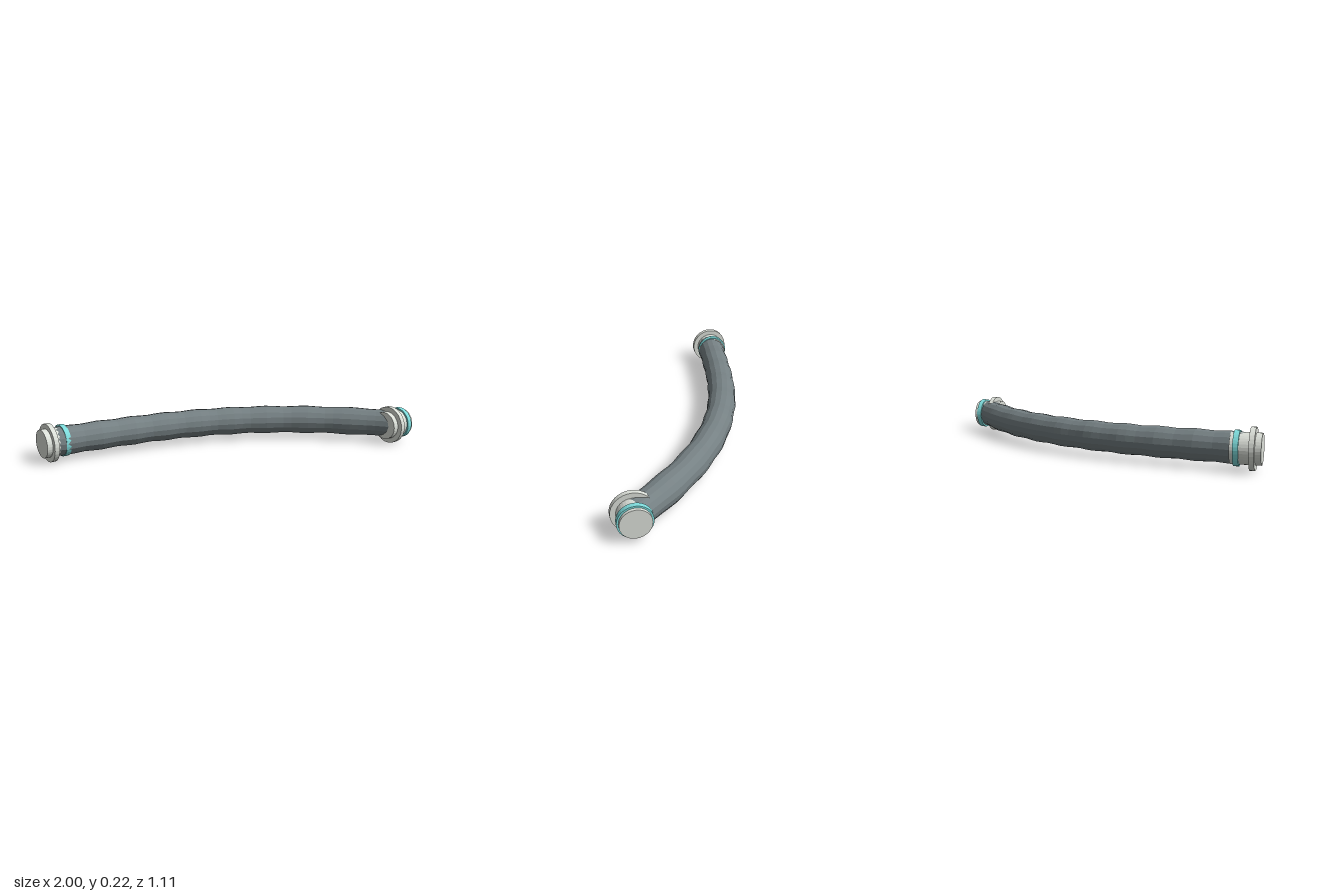
import * as THREE from 'three';

const AXIS_Y = 0.115;

export function createModel() {
  const model = new THREE.Group();
  model.name = 'flexibleHose';

  const mat = (name, color) => {
    const m = new THREE.MeshStandardMaterial({ color });
    m.name = name;
    m.flatShading = true;
    return m;
  };
  const hoseGrey = mat('hoseGrey', 0x758083);
  const fittingGrey = mat('fittingGrey', 0xdce0d9);
  const sealTeal = mat('sealTeal', 0x7edcdc);

  // End couplings: the same fitting at both ends, axis along x
  const disc = (name, radius, x0, x1, material) => {
    const geo = new THREE.CylinderGeometry(radius, radius, x1 - x0, 32);
    geo.rotateZ(-Math.PI / 2);
    geo.translate((x0 + x1) / 2, 0, 0);
    const mesh = new THREE.Mesh(geo, material);
    mesh.name = name;
    return mesh;
  };
  const coupling = (name, x, z) => {
    const g = new THREE.Group();
    g.name = name;
    g.add(
      disc('collar', 0.083, 0, 0.16, fittingGrey),
      disc('flange', 0.112, 0.032, 0.06, fittingGrey),
      disc('sealRing', 0.093, 0.113, 0.142, sealTeal)
    );
    g.position.set(x, AXIS_Y, z);
    model.add(g);
  };
  coupling('rightCoupling', -1, -0.445);
  coupling('leftCoupling', 0.84, 0.445);

  // Hose: a tube along one steady bend, its radius swelling in gentle ripples
  const path = new THREE.CubicBezierCurve3(
    new THREE.Vector3(-0.92, AXIS_Y, -0.445),
    new THREE.Vector3(-0.307, AXIS_Y, -0.36),
    new THREE.Vector3(0.307, AXIS_Y, -0.33),
    new THREE.Vector3(0.92, AXIS_Y, 0.445)
  );
  const rings = 40;
  const hoseGeo = new THREE.TubeGeometry(path, rings, 1, 16, false);
  const pos = hoseGeo.attributes.position;
  const p = new THREE.Vector3();
  for (let i = 0; i <= rings; i++) {
    const c = path.getPointAt(i / rings);
    const radius = 0.0838 + 0.0028 * Math.cos((c.x + 0.66) / 0.2 * Math.PI * 2);
    for (let j = 0; j <= 16; j++) {
      const k = i * 17 + j;
      p.fromBufferAttribute(pos, k).sub(c).multiplyScalar(radius).add(c);
      pos.setXYZ(k, p.x, p.y, p.z);
    }
  }
  hoseGeo.computeVertexNormals();
  const hose = new THREE.Mesh(hoseGeo, hoseGrey);
  hose.name = 'hose';
  model.add(hose);

  // Hose end caps, sitting inside the couplings
  [[0, -1, 'hoseEndRight'], [1, 1, 'hoseEndLeft']].forEach(([t, dir, name]) => {
    const cap = new THREE.Mesh(new THREE.CircleGeometry(0.083, 16), hoseGrey);
    cap.name = name;
    cap.position.copy(path.getPointAt(t));
    cap.lookAt(cap.position.clone().addScaledVector(path.getTangentAt(t), dir));
    model.add(cap);
  });

  return model;
}
